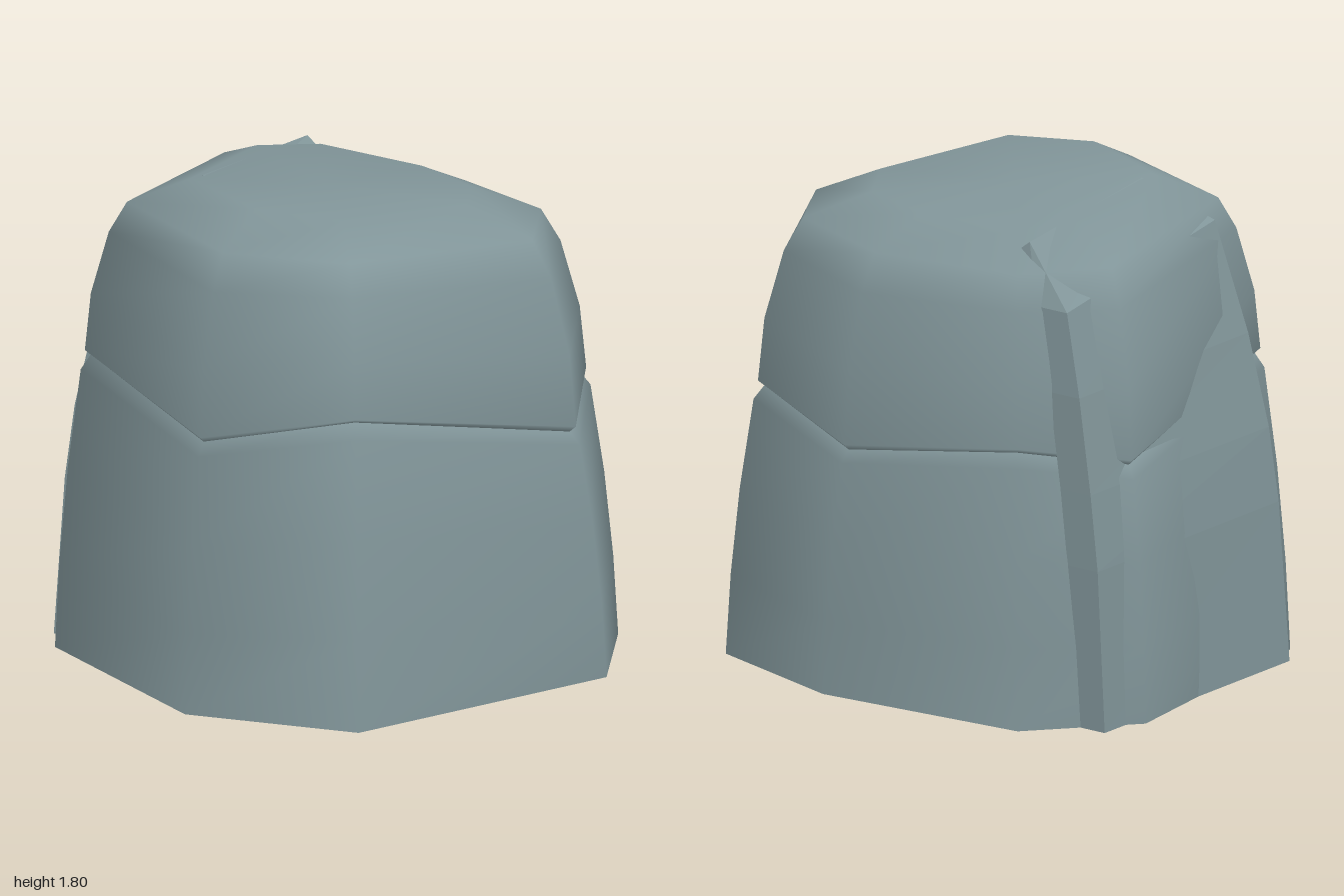
import * as THREE from 'three';

// Footprint corners: x, z, height of the crack at that corner (counter-clockwise from above)
const CORNERS = [
  [0.39, 1.0, 0.925], [0.78, 0.72, 1.01], [0.915, 0.11, 0.9], [0.78, -0.73, 1.01],
  [0.39, -1.0, 0.94], [-0.66, -0.73, 1.12], [-0.915, 0.11, 1.01], [-0.66, 0.72, 1.145],
];

// Skin through closed loops of [x, y, z] points, closed on top by a centre point if given
function loft(rings, capPoint) {
  const n = rings[0].length;
  const points = rings.flat();
  const index = [];
  for (let i = 0; i < rings.length - 1; i++) {
    for (let j = 0; j < n; j++) {
      const a = i * n + j, b = i * n + (j + 1) % n;
      index.push(a, b, b + n, a, b + n, a + n);
    }
  }
  if (capPoint) {
    const base = (rings.length - 1) * n;
    points.push(capPoint);
    for (let j = 0; j < n; j++) index.push(base + j, base + (j + 1) % n, points.length - 1);
  }
  const geometry = new THREE.BufferGeometry();
  geometry.setAttribute('position', new THREE.Float32BufferAttribute(points.flat(), 3));
  geometry.setIndex(index);
  geometry.computeVertexNormals();
  return geometry;
}

// Ring below the crack: height as a share of the crack height
const lowerRing = ([share, r]) => CORNERS.map(([x, z, g]) => [x * r, g * share, z * r]);

// Ring above the crack: height as a share of the way up to the sloping top
const upperRing = ([share, r]) => CORNERS.map(([x, z, g]) => {
  const top = 1.765 - 0.04 * x;
  return [x * r, g + (top - g) * share, z * r];
});

export function createModel() {
  const group = new THREE.Group();
  const stone = new THREE.MeshStandardMaterial({ color: 0x819599, side: THREE.DoubleSide });
  stone.name = 'blue grey stone';

  const add = (name, geometry) => {
    const mesh = new THREE.Mesh(geometry, stone);
    mesh.name = name;
    group.add(mesh);
  };

  // Lower boulder, open underneath, turning softly into the crack
  const lower = [[0, 1], [0.3, 0.983], [0.62, 0.952], [0.95, 0.905], [1, 0.868]];
  add('lowerRock', loft(lower.map(lowerRing)));

  // Upper boulder, from the crack over rounded shoulders to a tilted top
  const upper = [
    [0, 0.868], [0.025, 0.89], [0.35, 0.868], [0.7, 0.802], [0.87, 0.735], [1, 0.5],
  ];
  add('upperRock', loft(upper.map(upperRing), [0, 1.765, 0]));

  // Slab leaning on the back: left x, y, z then right x, y, z of its outer face
  const stations = [
    [-0.55, 0, -0.83, 0.58, 0, -0.975],
    [-0.53, 0.6, -0.795, 0.58, 0.6, -0.94],
    [-0.51, 0.88, -0.765, 0.575, 0.88, -0.9],
    [-0.47, 1.23, -0.7, 0.565, 1.23, -0.835],
    [-0.4, 1.65, -0.6, 0.54, 1.53, -0.75],
    [-0.27, 1.79, -0.36, 0.45, 1.725, -0.48],
  ];
  const slabRings = stations.map(([lx, ly, lz, rx, ry, rz], i) => {
    const last = i === stations.length - 1;
    const inset = last ? 0.08 : 0.14, drop = last ? 0.06 : 0;
    return [
      [rx, ry, rz], [lx, ly, lz],
      [lx + 0.02, ly - drop, lz + inset], [rx + 0.01, ry - drop, rz + inset],
    ];
  });
  const slab = loft(slabRings, [0.1, 1.7, -0.38]).toNonIndexed();
  slab.computeVertexNormals();
  add('backSlab', slab);

  return group;
}
